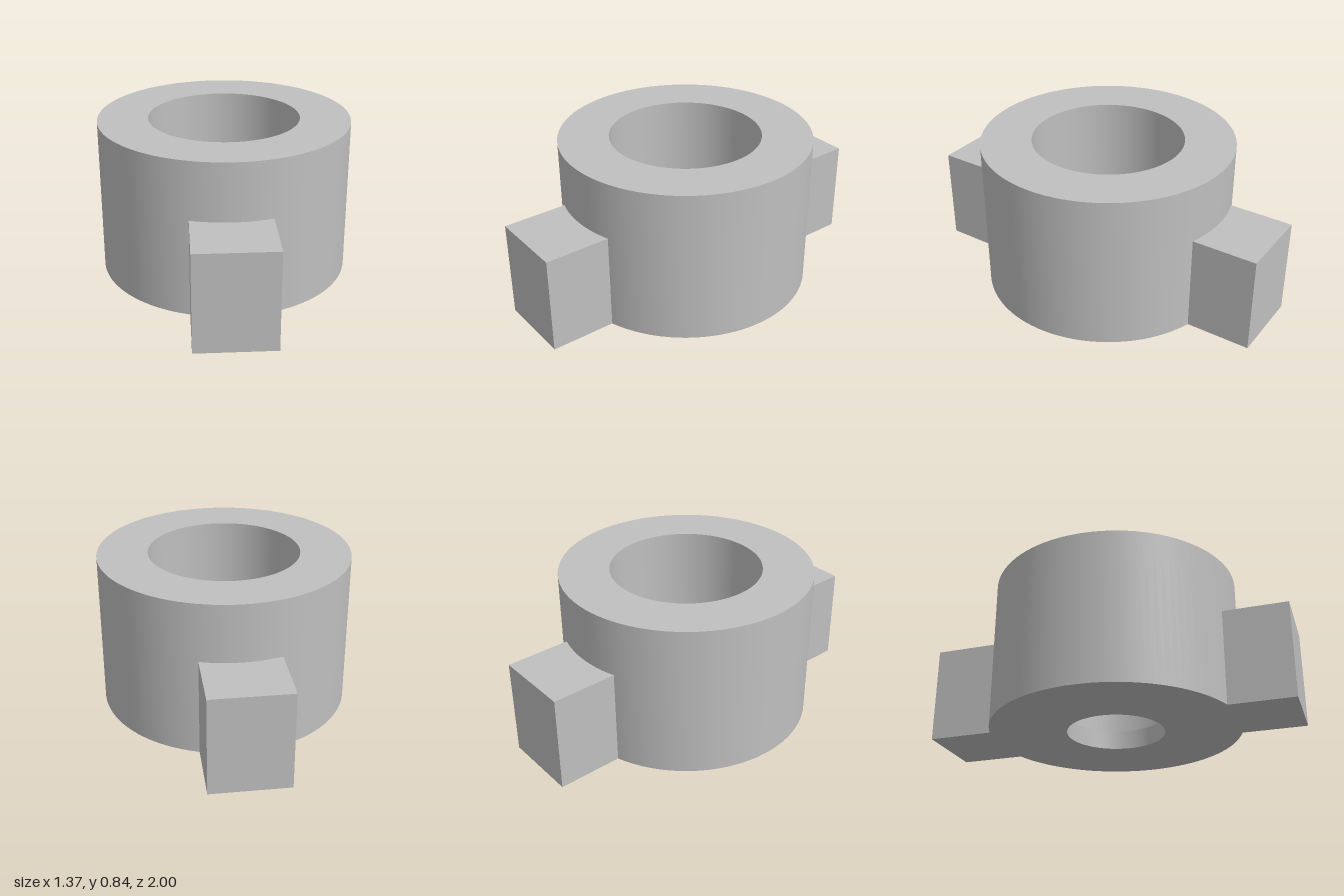
import * as THREE from 'three';
import { toCreasedNormals } from 'three/addons/utils/BufferGeometryUtils.js';

const OUTER = 0.683, BORE = 0.41, HOLE = 0.265;
const HEIGHT = 0.843, FLOOR = 0.105;
const LUG_HALF = 0.21, LUG_HEIGHT = 0.53;

export function createModel() {
  const model = new THREE.Group();
  model.name = 'luggedCollar';
  const grey = new THREE.MeshStandardMaterial({ color: 0xbfbfbf });
  grey.name = 'plain grey';

  function add(name, geometry) {
    const mesh = new THREE.Mesh(geometry, grey);
    mesh.name = name;
    model.add(mesh);
    return mesh;
  }

  // Collar: counterbored ring with a thin floor around a smaller through hole
  const profile = [
    [HOLE, 0], [OUTER, 0], [OUTER, HEIGHT], [BORE, HEIGHT],
    [BORE, FLOOR], [HOLE, FLOOR], [HOLE, 0],
  ].map(([r, y]) => new THREE.Vector2(r, y));
  add('collar', toCreasedNormals(new THREE.LatheGeometry(profile, 96), 0.5));

  // Lugs: square blocks whose inner face follows the collar wall
  const seat = OUTER - 0.003;
  const a = Math.asin(LUG_HALF / seat);
  const outline = new THREE.Shape();
  outline.moveTo(-LUG_HALF, -1);
  outline.lineTo(LUG_HALF, -1);
  outline.absarc(0, 0, seat, -Math.PI / 2 + a, -Math.PI / 2 - a, true);
  outline.closePath();
  const lug = new THREE.ExtrudeGeometry(outline, {
    depth: LUG_HEIGHT, bevelEnabled: false, curveSegments: 16,
  });
  lug.rotateX(-Math.PI / 2);
  add('frontLug', lug);
  add('backLug', lug).rotation.y = Math.PI;

  return model;
}
